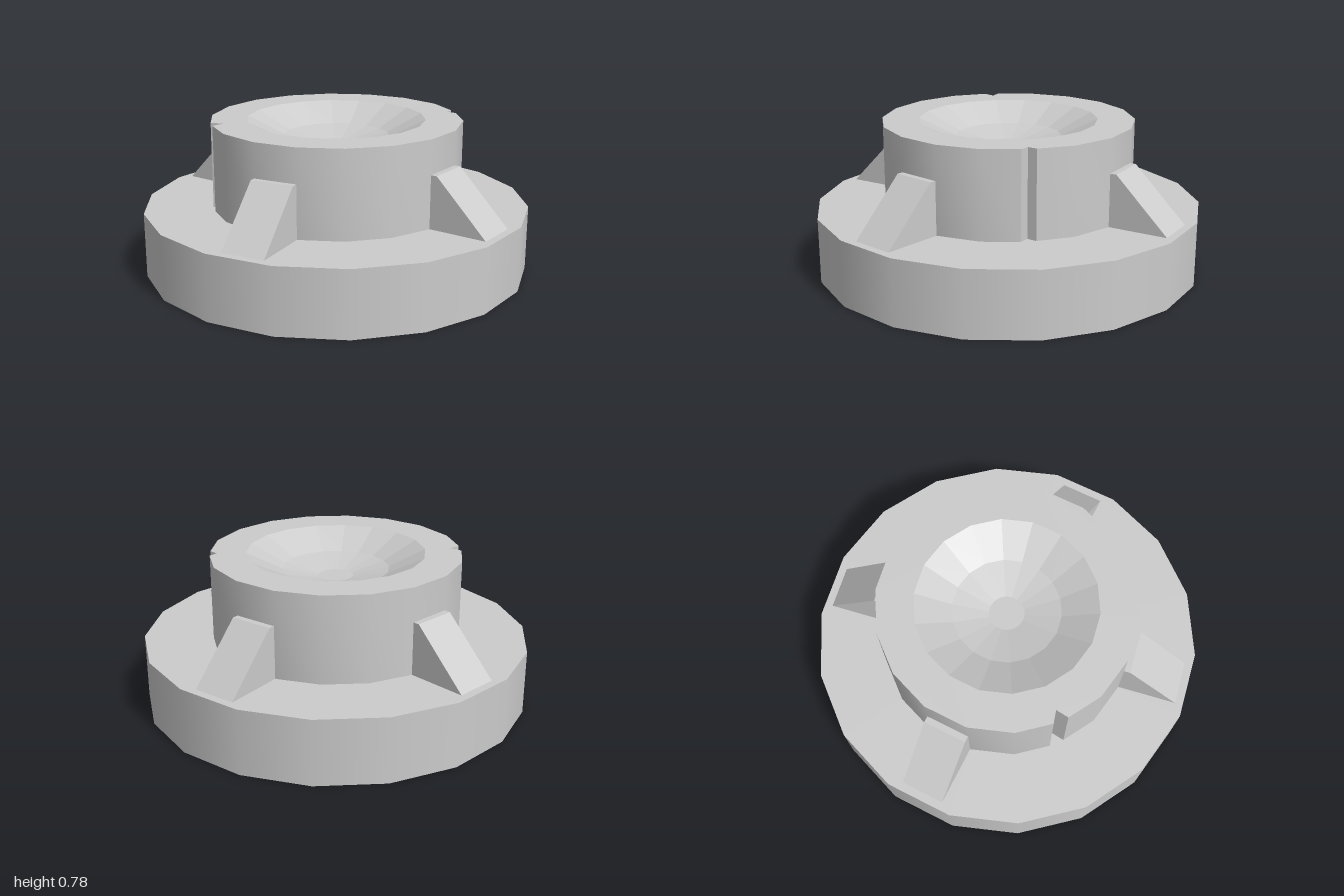
import * as THREE from 'three';
import { toCreasedNormals } from 'three/addons/utils/BufferGeometryUtils.js';

const SIDES = 18;
const BASE_TOP = 0.335;
const TOP = 0.78;

const smooth = new THREE.MeshStandardMaterial({ color: 0xcccccc });
const faceted = new THREE.MeshStandardMaterial({ color: 0xcccccc, flatShading: true });

function add(parent, name, geometry, material) {
  const mesh = new THREE.Mesh(geometry, material);
  mesh.name = name;
  parent.add(mesh);
  return mesh;
}

const ringPoint = (radius, k) => {
  const a = (k / SIDES) * Math.PI * 2;
  return new THREE.Vector2(Math.cos(a) * radius, Math.sin(a) * radius);
};

// Collar outline: an 18-gon whose corners on the x axis are cut by V notches
function collarGeometry() {
  const outline = [];
  for (let k = 0; k < SIDES; k++) {
    if (k === 0) {
      outline.push(new THREE.Vector2(0.64, -0.036), new THREE.Vector2(0.605, 0), new THREE.Vector2(0.64, 0.036));
    } else if (k === SIDES / 2) {
      outline.push(new THREE.Vector2(-0.642, 0.038), new THREE.Vector2(-0.586, 0), new THREE.Vector2(-0.642, -0.038));
    } else {
      outline.push(ringPoint(0.65, k));
    }
  }
  const shape = new THREE.Shape(outline);
  const hole = [];
  for (let k = 0; k < SIDES; k++) hole.push(ringPoint(0.46, k));
  shape.holes.push(new THREE.Path(hole));
  const geometry = new THREE.ExtrudeGeometry(shape, { depth: TOP - BASE_TOP, bevelEnabled: false });
  geometry.rotateX(-Math.PI / 2).translate(0, BASE_TOP, 0);
  return toCreasedNormals(geometry, 0.45);
}

export function createModel() {
  const model = new THREE.Group();
  model.name = 'notchedPedestal';

  // Wide base disc
  const base = new THREE.CylinderGeometry(1, 1, BASE_TOP, SIDES, 1, false, Math.PI / 2);
  add(model, 'base', base.translate(0, BASE_TOP / 2, 0), smooth);

  add(model, 'collar', collarGeometry(), smooth);

  // Shallow faceted bowl sunk into the collar
  const profile = [[0.46, TOP], [0.275, TOP - 0.09], [0.09, TOP - 0.13], [0, TOP - 0.13]];
  const bowl = new THREE.LatheGeometry(profile.map(([r, y]) => new THREE.Vector2(r, y)), SIDES, Math.PI / 2);
  add(model, 'bowl', bowl, faceted);

  // Four sloped braces between collar and base
  const brace = new THREE.ExtrudeGeometry(
    new THREE.Shape([
      new THREE.Vector2(0.6, BASE_TOP),
      new THREE.Vector2(0.944, BASE_TOP),
      new THREE.Vector2(0.672, 0.605),
      new THREE.Vector2(0.6, 0.605),
    ]),
    { depth: 0.224, bevelEnabled: false },
  ).translate(0, 0, -0.112);
  for (const degrees of [50, 130, 230, 310]) {
    add(model, 'brace', brace, faceted).rotation.y = THREE.MathUtils.degToRad(degrees);
  }

  return model;
}
